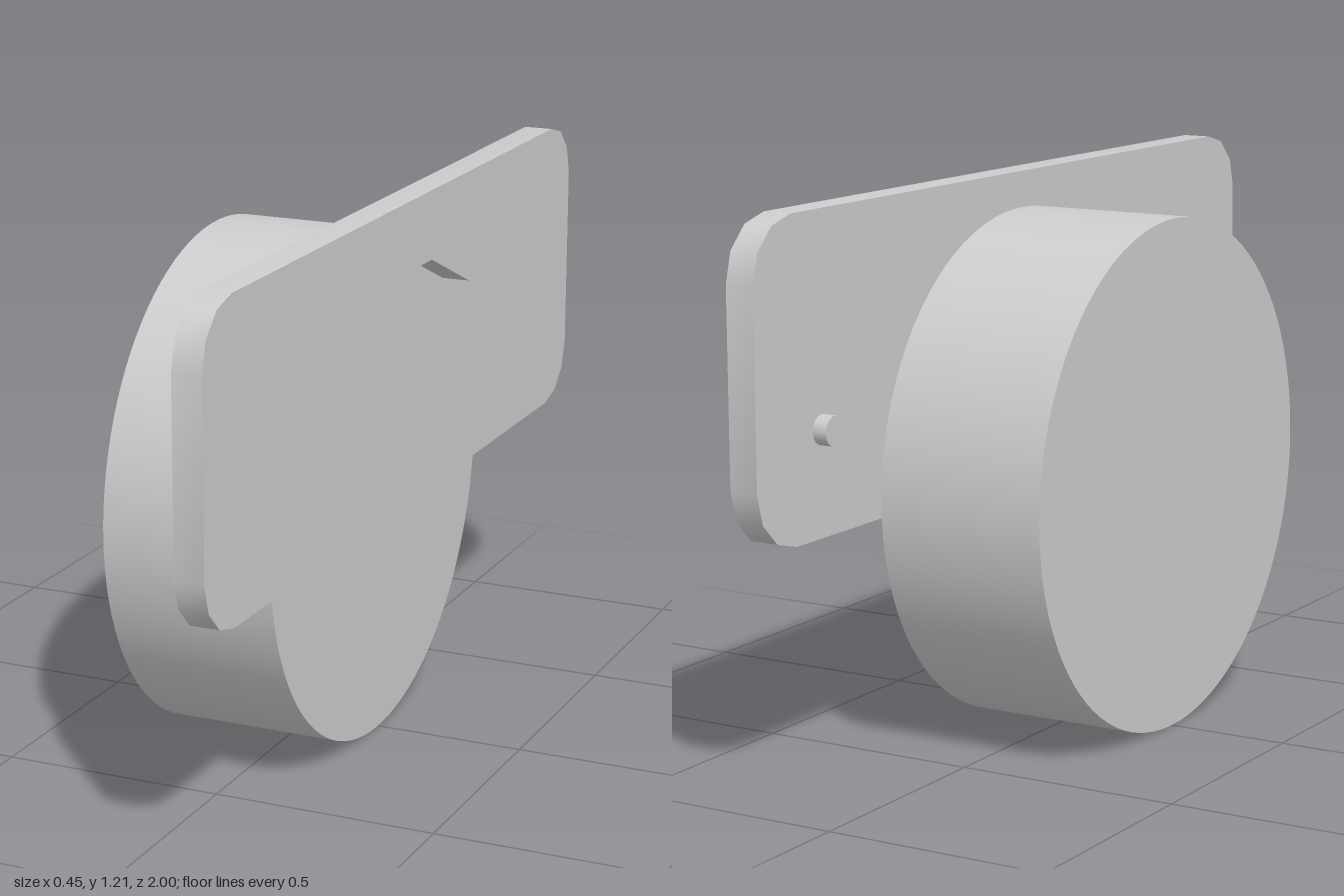
import * as THREE from 'three';
import { toCreasedNormals } from 'three/addons/utils/BufferGeometryUtils.js';

export function createModel() {
  const model = new THREE.Group();
  const grey = new THREE.MeshStandardMaterial({ color: 0xcccccc });
  grey.name = 'light grey';

  function add(name, geometry) {
    const mesh = new THREE.Mesh(geometry, grey);
    mesh.name = name;
    model.add(mesh);
    return mesh;
  }

  // Cylinder lying along x, from x0 to x1
  function disc(name, radius, x0, x1, y, z, sides) {
    const geometry = new THREE.CylinderGeometry(radius, radius, x1 - x0, sides);
    geometry.rotateZ(-Math.PI / 2);
    add(name, geometry).position.set((x0 + x1) / 2, y, z);
  }

  // Round body
  disc('drum', 0.565, -0.226, 0.16, 0.565, 0, 96);

  // Plate outline: rounded corners and a notch with a chamfered top
  const bottom = 0.535, top = 1.21, r = 0.13;
  const points = [];
  const corner = (u, v, start) => {
    for (let i = 0; i <= 3; i++) {
      const a = start + (i * Math.PI) / 6;
      points.push(new THREE.Vector2(u + r * Math.cos(a), v + r * Math.sin(a)));
    }
  };
  corner(1 - r, bottom + r, -Math.PI / 2);
  corner(1 - r, top - r, 0);
  corner(r - 1, top - r, Math.PI / 2);
  corner(r - 1, bottom + r, Math.PI);
  const notch = [[-0.355, bottom], [-0.355, 0.957], [-0.13, 1.055], [0.13, 1.055], [0.355, 0.957], [0.355, bottom]];
  notch.forEach(([u, v]) => points.push(new THREE.Vector2(u, v)));

  const plate = new THREE.ExtrudeGeometry(new THREE.Shape(points), { depth: 0.065, bevelEnabled: false });
  plate.rotateY(Math.PI / 2);
  plate.translate(0.16, 0, 0);
  add('notchedPlate', toCreasedNormals(plate, THREE.MathUtils.degToRad(35)));

  // Small locating pegs behind the plate
  for (const side of [1, -1]) {
    disc(side > 0 ? 'frontPeg' : 'backPeg', 0.032, 0.128, 0.162, 0.76, side * 0.775, 32);
  }

  return model;
}
